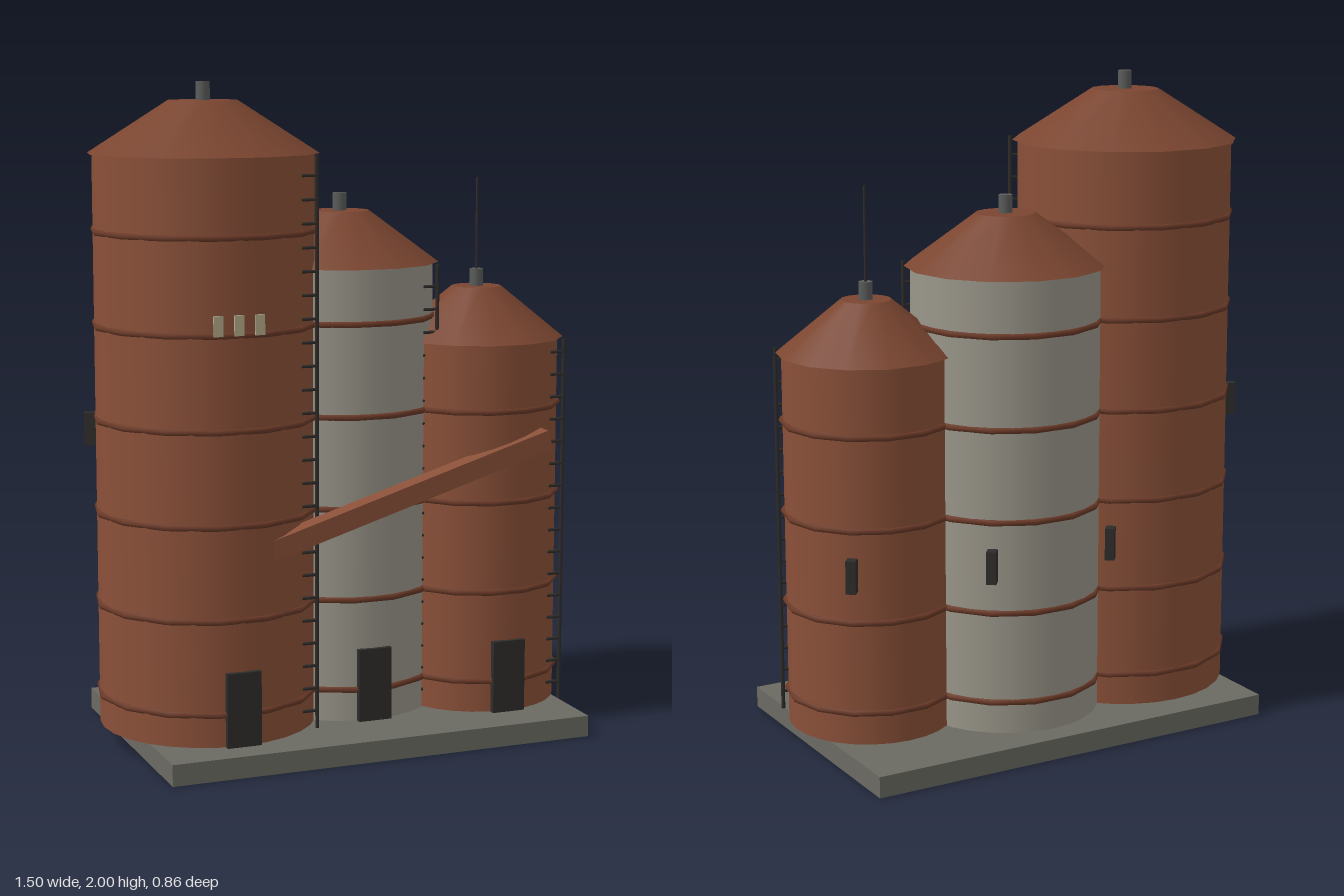
import * as THREE from 'three';

const paint = (color) => new THREE.MeshStandardMaterial({ color });
const rust = paint(0x8a5038), roofRust = paint(0x7a4530), bandRust = paint(0x6b3a28);
const pale = paint(0x9a968a), concrete = paint(0x6b6a62), iron = paint(0x5a5c5a);
const dark = paint(0x2e2c2a), glow = paint(0xb5aa8a);

const BASE = 0.065, SIDES = 14;

function add(parent, name, geometry, material, x = 0, y = 0, z = 0) {
  const mesh = new THREE.Mesh(geometry, material);
  mesh.name = name;
  mesh.position.set(x, y, z);
  parent.add(mesh);
  return mesh;
}

const box = (w, h, d) => new THREE.BoxGeometry(w, h, d);
const rod = (r, h, sides = 8) => new THREE.CylinderGeometry(r, r, h, sides);

// Two rails with rungs, standing diagonally off the wall
function ladder(r, top) {
  const group = new THREE.Group();
  group.name = 'ladder';
  const off = (r + 0.01) * Math.SQRT1_2;
  group.position.set(off, 0, off);
  for (const side of [-1, 1]) {
    add(group, 'ladderRail', rod(0.006, top - BASE, 6), dark, side * 0.027, (top + BASE) / 2, 0);
  }
  for (let y = BASE + 0.055; y < top - 0.02; y += 0.07) {
    add(group, 'ladderRung', rod(0.005, 0.054, 6), dark, 0, y, 0).rotation.z = Math.PI / 2;
  }
  return group;
}

// Small service box on the wall, facing along (dx, dz)
function wallBox(silo, r, y, dx, dz) {
  const angle = Math.atan2(dx, dz), d = r + 0.018;
  const mesh = add(silo, 'serviceBox', box(0.03, 0.1, 0.036), dark, Math.sin(angle) * d, y, Math.cos(angle) * d);
  mesh.rotation.y = angle;
}

function createSilo({ name, x, z, r, eave, roofR, capR, roofTop, ventTop, bands, wall }) {
  const silo = new THREE.Group();
  silo.name = name;
  silo.position.set(x, 0, z);

  add(silo, 'wall', new THREE.CylinderGeometry(r, r, eave - BASE, 28), wall, 0, (eave + BASE) / 2, 0);
  add(silo, 'roof', new THREE.CylinderGeometry(capR, roofR, roofTop - eave, SIDES, 1, false, Math.PI / 2),
    roofRust, 0, (eave + roofTop) / 2, 0);
  add(silo, 'vent', rod(0.021, ventTop - roofTop + 0.01, 10), iron, 0, (ventTop + roofTop - 0.01) / 2, 0);

  // Hoops around the wall
  for (let i = 0; i < bands; i++) {
    const hoop = add(silo, 'hoop', new THREE.TorusGeometry(r + 0.002, 0.01, 6, SIDES), bandRust, 0, 0.163 + i * 0.28, 0);
    hoop.rotation.x = Math.PI / 2;
  }

  add(silo, 'door', box(0.106, 0.225, 0.02), dark, 0, BASE + 0.1125, r + 0.003);
  silo.add(ladder(r, eave));
  wallBox(silo, r, 0.593, 0.61, -0.79);
  return silo;
}

export function createModel() {
  const model = new THREE.Group();
  model.name = 'siloCluster';

  add(model, 'foundation', box(1.34, BASE, 0.86), concrete, 0.016, BASE / 2, 0);

  const tall = createSilo({ name: 'tallSilo', x: -0.403, z: 0, r: 0.33, eave: 1.79, roofR: 0.347,
    capR: 0.104, roofTop: 1.945, ventTop: 2, bands: 6, wall: rust });
  const middle = createSilo({ name: 'middleSilo', x: 0.058, z: -0.066, r: 0.287, eave: 1.447, roofR: 0.305,
    capR: 0.091, roofTop: 1.604, ventTop: 1.658, bands: 5, wall: pale });
  const short = createSilo({ name: 'shortSilo', x: 0.478, z: 0.032, r: 0.253, eave: 1.208, roofR: 0.27,
    capR: 0.077, roofTop: 1.365, ventTop: 1.418, bands: 4, wall: rust });
  model.add(tall, middle, short);

  // Extra service box and lit windows on the tall silo
  wallBox(tall, 0.33, 0.96, -0.92, -0.39);
  for (const i of [-1, 0, 1]) {
    add(tall, 'window', box(0.029, 0.06, 0.006), glow, -0.01 + i * 0.063, 1.314, 0.344);
  }

  // Antenna on the short silo
  add(short, 'antenna', rod(0.004, 0.285, 6), dark, 0, 1.558, 0);

  // Sloping chute across the fronts, running into the tall silo
  const chute = add(model, 'chute', box(0.99, 0.06, 0.064), rust, 0.13, 0.769, 0.279);
  chute.rotation.z = 0.297;

  return model;
}
